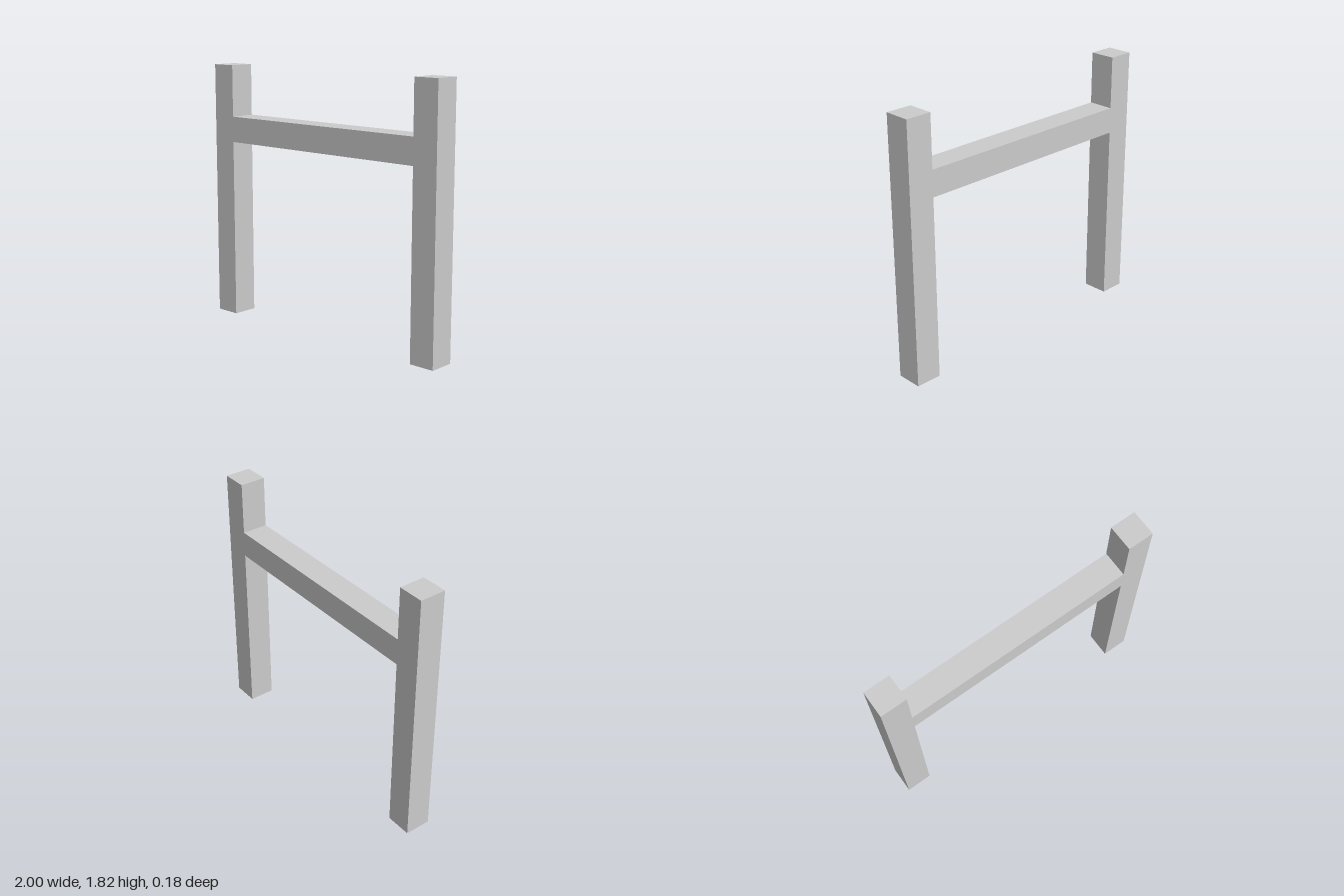
import * as THREE from 'three';

export function createModel() {
  const group = new THREE.Group();
  group.name = 'postAndRailFrame';

  const unit = 2 / 11;           // square section of every member
  const height = 10 * unit;
  const railBottom = 7 * unit;
  const railTop = 8 * unit;
  const outer = 1;
  const inner = outer - unit;

  // Outline of the right half, mirrored to close the H shape
  const half = [
    [inner, railBottom], [inner, 0], [outer, 0],
    [outer, height], [inner, height], [inner, railTop],
  ];
  const mirrored = half.map(([x, y]) => [-x, y]).reverse();
  const outline = new THREE.Shape([...half, ...mirrored].map(([x, y]) => new THREE.Vector2(x, y)));

  // Two posts and the cross rail as one solid piece
  const geometry = new THREE.ExtrudeGeometry(outline, { depth: unit, bevelEnabled: false });
  geometry.translate(0, 0, -unit / 2);
  const frame = new THREE.Mesh(
    geometry,
    new THREE.MeshStandardMaterial({ color: 0xcccccc, flatShading: true }),
  );
  frame.name = 'postsAndCrossRail';
  group.add(frame);

  return group;
}
